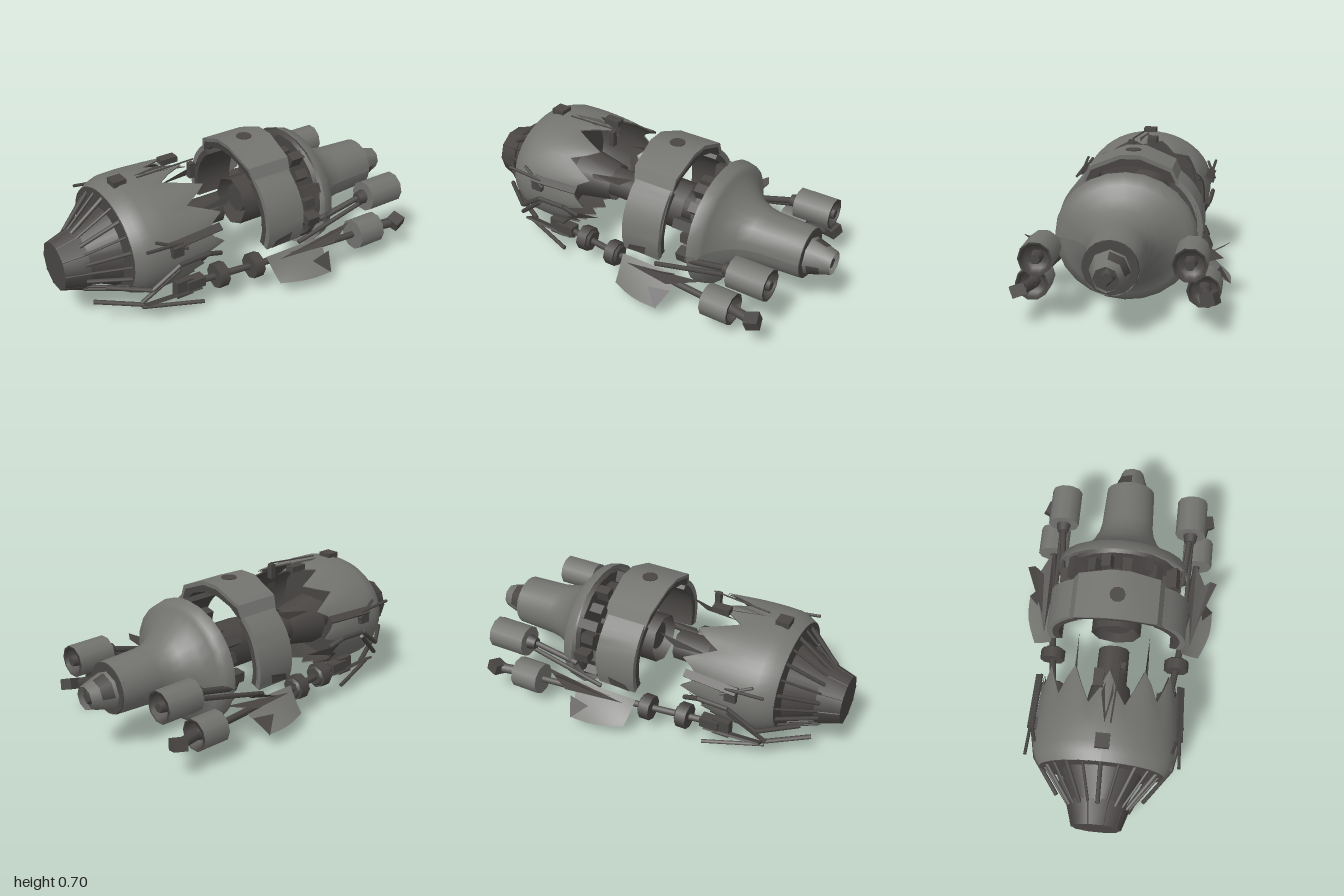
import * as THREE from 'three';
import { toCreasedNormals } from 'three/addons/utils/BufferGeometryUtils.js';

const paint = (name, color) => {
  const m = new THREE.MeshStandardMaterial({ color, side: THREE.DoubleSide });
  m.name = name;
  return m;
};

export function createModel() {
  const root = new THREE.Group();
  root.name = 'wreckedShip';
  const hull = paint('hullGrey', 0x737370);
  const dark = paint('darkMetal', 0x494644);

  const add = (name, geo, mat, parent = root) => {
    const m = new THREE.Mesh(geo, mat);
    m.name = name;
    parent.add(m);
    return m;
  };
  // Turned part along the x axis; profile is [x, radius] pairs
  const turned = (name, profile, sides, mat, y, z = 0, parent = root) => {
    const pts = profile.map(([x, r]) => new THREE.Vector2(r, x));
    const m = add(name, new THREE.LatheGeometry(pts, sides), mat, parent);
    m.rotation.z = -Math.PI / 2;
    m.position.set(0, y, z);
    return m;
  };
  // Straight or tapered cylinder along x
  const drumX = (name, x0, x1, r0, r1, sides, mat, y, z = 0, parent = root, open = false, start = 0, sweep = Math.PI * 2) => {
    const m = add(name, new THREE.CylinderGeometry(r1, r0, x1 - x0, sides, 1, open, start, sweep), mat, parent);
    m.rotation.z = -Math.PI / 2;
    m.position.set((x0 + x1) / 2, y, z);
    return m;
  };
  const rod = (name, a, b, r, mat, parent = root) => {
    const A = new THREE.Vector3(...a), d = new THREE.Vector3(...b).sub(A);
    const m = add(name, new THREE.CylinderGeometry(r, r, d.length(), 6), mat, parent);
    m.position.copy(A).addScaledVector(d, 0.5);
    m.quaternion.setFromUnitVectors(new THREE.Vector3(0, 1, 0), d.normalize());
    return m;
  };
  const box = (name, size, pos, mat, parent = root, rot = [0, 0, 0]) => {
    const m = add(name, new THREE.BoxGeometry(...size), mat, parent);
    m.position.set(...pos);
    m.rotation.set(...rot);
    return m;
  };
  // Flat torn plate fanned from its first corner
  const shard = (name, pts, mat, parent = root) => {
    const tri = [];
    for (let i = 1; i < pts.length - 1; i++) tri.push(...pts[0], ...pts[i], ...pts[i + 1]);
    const g = new THREE.BufferGeometry();
    g.setAttribute('position', new THREE.Float32BufferAttribute(tri, 3));
    g.computeVertexNormals();
    return add(name, g, mat, parent);
  };
  // Band between two (z, y) lines, extruded along x; warp gives the x shift at each height and end
  const bandX = (name, outer, inner, depth, mat, warp) => {
    const s = new THREE.Shape([...outer, ...[...inner].reverse()].map(([z, y]) => new THREE.Vector2(-z, y)));
    const g = new THREE.ExtrudeGeometry(s, { depth, bevelEnabled: false });
    const p = g.attributes.position;
    for (let i = 0; i < p.count; i++) p.setZ(i, p.getZ(i) + warp(p.getY(i), p.getZ(i) > depth / 2));
    const m = add(name, toCreasedNormals(g, 0.6), mat);
    m.rotation.y = Math.PI / 2;
    return m;
  };

  // Nose
  drumX('noseCap', -1, -0.88, 0.125, 0.163, 10, dark, 0.3);
  drumX('noseHub', -0.9, -0.72, 0.13, 0.21, 16, dark, 0.32, 0, root, true);
  for (let i = 0; i < 20; i++) {
    const a = i / 20 * Math.PI * 2, c = Math.cos(a), s = Math.sin(a);
    rod('noseStrut', [-0.9, 0.3 + 0.15 * c, 0.15 * s], [-0.7, 0.355 + 0.25 * c, 0.305 * s], i % 2 ? 0.007 : 0.011, dark);
    if (i % 2) rod('noseRib', [-1, 0.3 + 0.12 * c, 0.12 * s], [-0.88, 0.3 + 0.158 * c, 0.158 * s], 0.006, dark);
  }

  // Front hull with a torn rear edge, mirrored from top to bottom, over a dark lining
  const edge = [-0.28, -0.38, -0.45, -0.36, -0.26, -0.32, -0.4, -0.32, -0.24, -0.3, -0.33, -0.3, -0.25,
    -0.34, -0.38, -0.35, -0.4, -0.38, -0.42, -0.38, -0.46, -0.4, -0.45, -0.4, -0.46];
  const starts = [-0.73, -0.69, -0.64, -0.55], scale = [0.87, 0.94, 0.99, 1];
  for (const [name, size, mat] of [['tornFrontHull', 1, hull], ['hullLining', 0.975, dark]]) {
    const geo = new THREE.PlaneGeometry(1, 1, 48, 7), p = geo.attributes.position;
    for (let j = 0; j < 8; j++) for (let i = 0; i < 49; i++) {
      const a = i / 48 * Math.PI * 2, e = edge[i > 24 ? 48 - i : i];
      const x = j < 4 ? starts[j] : THREE.MathUtils.lerp(-0.55, e, (j - 3) / 4);
      const k = size * (j < 4 ? scale[j] : 1 - 0.04 * ((j - 3) / 4) ** 2);
      p.setXYZ(j * 49 + i, x, 0.36 + 0.292 * k * Math.cos(a), 0.36 * k * Math.sin(a));
    }
    geo.computeVertexNormals();
    add(name, geo, mat);
  }
  const bulkhead = add('frontBulkhead', new THREE.RingGeometry(0.55, 1, 32), dark);
  bulkhead.scale.set(0.313, 0.254, 1);
  bulkhead.rotation.y = -Math.PI / 2;
  bulkhead.position.set(-0.729, 0.36, 0);

  // Central duct, inner bulkhead and roof fittings
  drumX('centralDuct', -0.6, -0.07, 0.085, 0.08, 10, dark, 0.325, 0, root, true);
  drumX('ductCollar', -0.48, -0.27, 0.14, 0.1, 10, dark, 0.32, 0, root, true);
  drumX('innerBulkhead', -0.6, -0.57, 0.27, 0.27, 16, dark, 0.36);
  shard('roofTear', [[-0.55, 0.657, 0], [-0.4, 0.655, 0.03], [-0.25, 0.62, 0.01], [-0.4, 0.655, -0.03]], dark);
  box('roofBox', [0.07, 0.03, 0.07], [-0.64, 0.655, 0], dark);
  rod('roofAerial', [-0.55, 0.66, 0.03], [-0.24, 0.68, 0.05], 0.004, dark);
  box('roofMast', [0.03, 0.08, 0.03], [-0.26, 0.63, 0.06], dark);
  box('roofMount', [0.09, 0.03, 0.05], [-0.33, 0.66, -0.05], dark);

  // Broken ring: raised roof plate and two side arcs, each with a dark lining
  const roofLines = [[[0.245, 0.545], [0.21, 0.625], [0.05, 0.69]], [[0.23, 0.545], [0.2, 0.607], [0.05, 0.668]],
    [[0.19, 0.56], [0.14, 0.6], [0.05, 0.63]]].map(half => [...half.map(([z, y]) => [-z, y]), ...[...half].reverse()]);
  const roofWarp = (y, rear) => (y - 0.55) * (rear ? 0.08 : -0.22);
  bandX('ringRoof', roofLines[0], roofLines[1], 0.22, hull, roofWarp);
  bandX('ringRoofLining', roofLines[1], roofLines[2], 0.215, dark, roofWarp);
  const hatch = add('roofHatch', new THREE.CylinderGeometry(0.04, 0.04, 0.008, 12), dark);
  hatch.position.set(0.1, 0.69, 0);
  for (const s of [1, -1]) {
    const arc = (rz, ry) => Array.from({ length: 13 }, (_, i) => {
      const a = THREE.MathUtils.lerp(0.87, -0.32, i / 12);
      return [s * rz * Math.cos(a), 0.32 + ry * Math.sin(a)];
    });
    const sideWarp = (y, rear) => (rear ? 0.01 - Math.abs(y - 0.38) * 0.06 : 0.005);
    bandX('ringSide', arc(0.367, 0.325), arc(0.338, 0.3), 0.215, hull, sideWarp);
    bandX('ringSideLining', arc(0.338, 0.3), arc(0.305, 0.27), 0.21, dark, sideWarp);
    shard('ringScorch', [[0.03, 0.225, s * 0.36], [0.05, 0.265, s * 0.369], [0.15, 0.285, s * 0.37], [0.14, 0.235, s * 0.364]], dark);
  }

  // Core and machinery between the ring and the bell
  drumX('coreSleeve', 0.02, 0.2, 0.13, 0.13, 8, dark, 0.33, 0, root, true);
  drumX('coreShaft', 0.05, 0.4, 0.075, 0.075, 12, dark, 0.34);
  drumX('machineDisc', 0.28, 0.32, 0.17, 0.17, 14, dark, 0.34);
  drumX('backingDisc', 0.365, 0.385, 0.29, 0.3, 18, dark, 0.32);
  for (let i = 0; i < 18; i++) {
    const a = i / 18 * Math.PI * 2 + 0.1, r = i % 2 ? 0.24 : 0.2;
    box('machineBlock', [i % 3 ? 0.08 : 0.11, 0.06, 0.05],
      [i % 3 ? 0.335 : 0.32, 0.33 + r * Math.cos(a), r * 1.25 * Math.sin(a)], dark, root, [a, 0, 0]);
  }

  // Engine bell with a wide flange, dark end and tapered exhaust
  const bell = turned('engineBell', [[0.375, 0.322], [0.43, 0.31], [0.44, 0.275], [0.48, 0.22], [0.54, 0.172],
    [0.6, 0.15], [0.66, 0.14], [0.87, 0.131]], 24, hull, 0.315);
  const bp = bell.geometry.attributes.position;
  for (let i = 0; i < bp.count; i++) {
    const grow = THREE.MathUtils.clamp((0.62 - bp.getY(i)) / 0.15, 0, 1);
    bp.setZ(i, bp.getZ(i) * (1 + 0.1 * grow));
  }
  bell.geometry.computeVertexNormals();
  drumX('bellEnd', 0.855, 0.872, 0.132, 0.13, 12, dark, 0.315);
  drumX('exhaustTip', 0.87, 1, 0.098, 0.06, 8, hull, 0.305, 0, root, true);
  for (const start of [0, Math.PI]) drumX('exhaustPatch', 0.89, 0.95, 0.0945, 0.077, 2, dark, 0.305, 0, root, true, start, Math.PI / 2);
  drumX('exhaustFloor', 0.95, 0.965, 0.07, 0.065, 8, dark, 0.305);
  drumX('exhaustCore', 0.96, 0.99, 0.045, 0.03, 4, dark, 0.305);

  // Side assemblies, built on +z and mirrored
  for (const s of [1, -1]) {
    const side = new THREE.Group();
    side.name = s > 0 ? 'frontSide' : 'backSide';
    root.add(side);
    const P = (x, y, z) => [x, y, s * z];

    // Thruster pods with open mouths
    for (const [x0, x1, y, z] of [[0.635, 0.835, 0.33, 0.35], [0.53, 0.68, 0.155, 0.405]]) {
      drumX('podShell', x0, x1, 0.082, 0.082, 10, hull, y, s * z, side, true);
      turned('podBack', [[x0, 0], [x0, 0.082]], 10, hull, y, s * z, side);
      turned('podMouth', [[x1, 0.082], [x1, 0.066], [x1 - 0.05, 0.06], [x1 - 0.05, 0]], 10, dark, y, s * z, side);
      drumX('podCore', x1 - 0.06, x1 + 0.005, 0.035, 0.025, 6, dark, y, s * z, side);
    }
    rod('podTail', P(0.66, 0.155, 0.405), P(0.77, 0.16, 0.43), 0.028, dark, side);
    box('podDebris', [0.07, 0.055, 0.07], P(0.8, 0.165, 0.44), dark, side, [0.3, s * 0.3, 0.2]);
    rod('upperPodStrut', P(0.36, 0.27, 0.33), P(0.64, 0.34, 0.35), 0.016, dark, side);
    rod('upperPodBrace', P(0.2, 0.2, 0.36), P(0.64, 0.31, 0.36), 0.012, dark, side);
    drumX('upperPodCollar', 0.59, 0.64, 0.03, 0.04, 8, dark, 0.33, s * 0.35, side);

    // Long lower rod with drums
    rod('lowerRod', P(-0.45, 0.145, 0.29), P(0, 0.145, 0.345), 0.018, dark, side);
    rod('lowerRodRear', P(0, 0.145, 0.345), P(0.54, 0.155, 0.405), 0.018, dark, side);
    for (const [x, z] of [[-0.26, 0.31], [-0.065, 0.337]]) {
      drumX('rodDrum', x - 0.028, x + 0.028, 0.066, 0.066, 8, dark, 0.145, s * z, side);
      drumX('rodDrumCollar', x + 0.028, x + 0.04, 0.055, 0.045, 8, dark, 0.145, s * z, side);
    }
    box('rodBracket', [0.1, 0.05, 0.06], P(-0.4, 0.15, 0.3), dark, side);

    // Bent ring panel flaring down and outward
    const flap = new THREE.PlaneGeometry(1, 1, 6, 6), fp = flap.attributes.position;
    for (let j = 0; j < 7; j++) for (let i = 0; i < 7; i++) {
      const u = j / 6, v = i / 6, reach = 0.1 + 0.06 * Math.sin(Math.min(u * 2, 1.57));
      const x = 0.02 * v + u * (0.35 - 0.08 * v);
      fp.setXYZ(j * 7 + i, x, 0.178 - 0.113 * v * (1.3 - 0.3 * v), s * (0.355 + reach * v));
    }
    flap.computeVertexNormals();
    add('flaredRingPanel', flap, hull, side);
    shard('upperSpike', [P(0.15, 0.19, 0.42), P(0.37, 0.305, 0.515), P(0.39, 0.285, 0.48), P(0.36, 0.25, 0.43)], dark, side);
    shard('panelSplinter', [P(0.05, 0.17, 0.4), P(0.34, 0.21, 0.48), P(0.5, 0.24, 0.4), P(0.3, 0.185, 0.38)], dark, side);
    shard('lowerSpike', [P(0.22, 0.13, 0.46), P(0.3, 0.062, 0.518), P(0.34, 0.14, 0.44)], dark, side);

    // Pipes and plates lying along the hull
    const pipe = [P(-0.84, 0.24, 0.22), P(-0.66, 0.23, 0.35), P(-0.52, 0.335, 0.375), P(-0.36, 0.34, 0.375), P(-0.28, 0.31, 0.36)];
    for (let i = 0; i < 4; i++) rod('hullPipe', pipe[i], pipe[i + 1], 0.012, dark, side);
    rod('lowerPipe', P(-0.7, 0.15, 0.31), P(-0.52, 0.31, 0.37), 0.012, dark, side);
    rod('keelRail', P(-0.88, 0.13, 0.15), P(-0.66, 0.085, 0.25), 0.013, dark, side);
    rod('keelRail', P(-0.68, 0.09, 0.27), P(-0.38, 0.06, 0.36), 0.011, dark, side);
    box('keelPlate', [0.3, 0.012, 0.06], P(-0.52, 0.11, 0.3), dark, side, [s * -0.5, 0, -0.04]);
    box('keelBox', [0.09, 0.09, 0.05], P(-0.46, 0.14, 0.29), dark, side);
    box('hullBox', [0.06, 0.07, 0.04], P(-0.53, 0.42, 0.36), dark, side);
    rod('hullAerial', P(-0.63, 0.48, 0.34), P(-0.48, 0.42, 0.385), 0.008, dark, side);
    rod('upperRail', P(-0.7, 0.47, 0.38), P(-0.5, 0.45, 0.37), 0.008, dark, side);
    box('sideFlap', [0.28, 0.012, 0.04], P(-0.42, 0.455, 0.365), dark, side, [s * 0.7, s * 0.06, 0]);
    shard('tornPetal', [P(-0.32, 0.45, 0.17), P(-0.05, 0.51, 0.18), P(-0.14, 0.45, 0.185), P(-0.3, 0.44, 0.19)], dark, side);
    shard('lowPetal', [P(-0.42, 0.28, 0.33), P(-0.24, 0.24, 0.24), P(-0.42, 0.2, 0.29)], dark, side);
  }
  return root;
}
